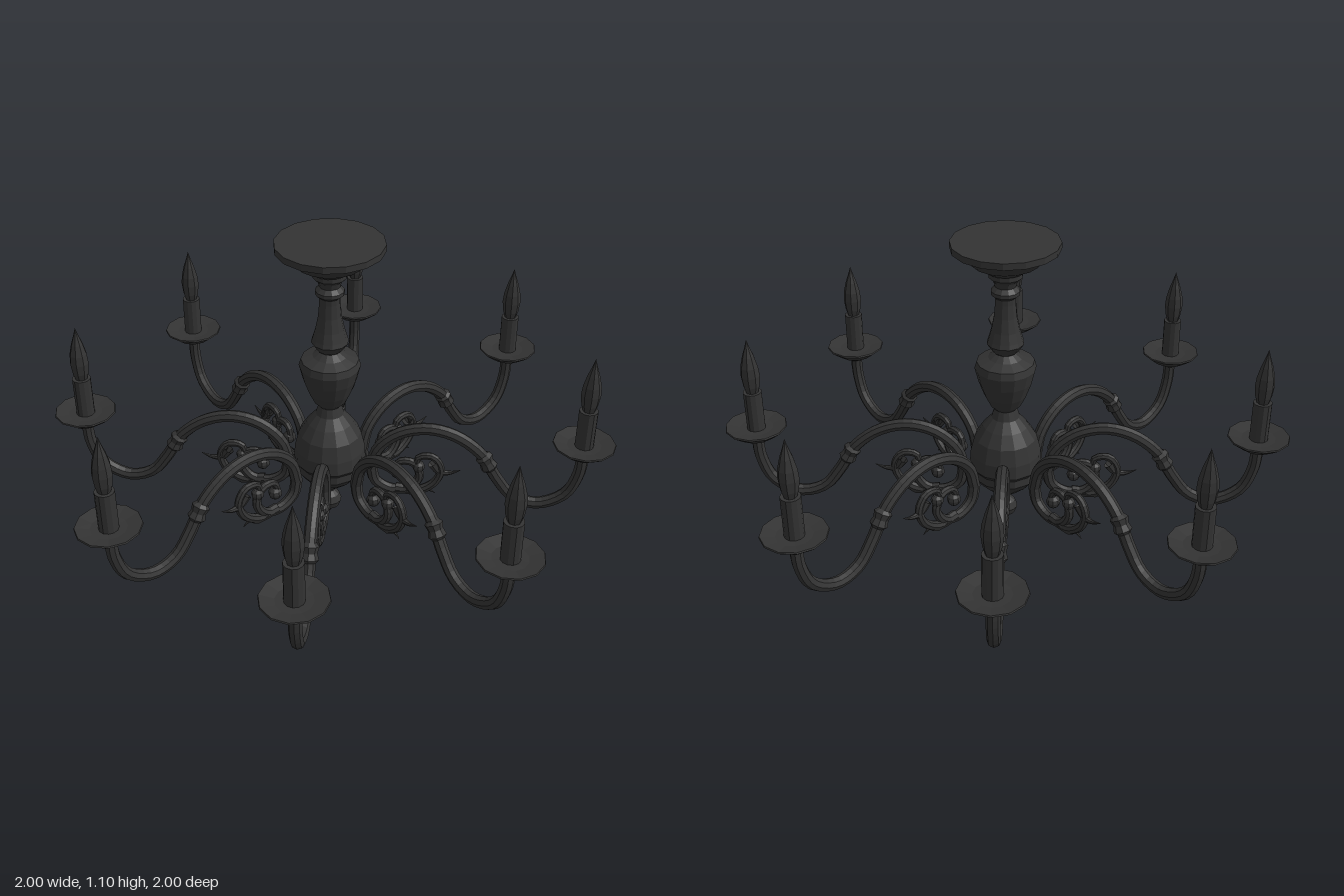
import * as THREE from 'three';

const iron = new THREE.MeshStandardMaterial({ color: 0x333333, flatShading: true, side: THREE.DoubleSide });

function add(parent, name, geometry, x = 0, y = 0, z = 0) {
  const mesh = new THREE.Mesh(geometry, iron);
  mesh.name = name;
  mesh.position.set(x, y, z);
  parent.add(mesh);
  return mesh;
}

// Turned part from [radius, height] pairs, bottom to top
function turned(profile, sides) {
  return new THREE.LatheGeometry(profile.map(([r, y]) => new THREE.Vector2(r, y)), sides);
}

// Tube through [x, y] points whose thickness follows radiusAt(t)
function rod(points, segments, radiusAt) {
  const path = new THREE.CatmullRomCurve3(points.map(([x, y]) => new THREE.Vector3(x, y, 0)));
  const sides = 8;
  const geo = new THREE.TubeGeometry(path, segments, 1, sides, false);
  const pos = geo.attributes.position;
  const v = new THREE.Vector3();
  for (let i = 0; i <= segments; i++) {
    const center = path.getPointAt(i / segments);
    for (let j = 0; j <= sides; j++) {
      const k = i * (sides + 1) + j;
      v.fromBufferAttribute(pos, k).sub(center).multiplyScalar(radiusAt(i / segments)).add(center);
      pos.setXYZ(k, v.x, v.y, v.z);
    }
  }
  geo.computeVertexNormals();
  return geo;
}

function createArm() {
  const arm = new THREE.Group();
  const reach = 0.89;

  // S-shaped arm, from the cup down, over the arch and in to the body
  add(arm, 'armTube', rod([
    [reach, 0.34], [0.885, 0.25], [0.845, 0.155], [0.75, 0.105], [0.66, 0.13], [0.595, 0.21],
    [0.54, 0.3], [0.45, 0.37], [0.35, 0.395], [0.25, 0.37], [0.175, 0.3], [0.15, 0.21],
  ], 40, () => 0.022));

  // Collar where the arm swings up into the arch
  const collar = add(arm, 'armCollar', turned(
    [[0.02, -0.035], [0.032, -0.022], [0.026, 0], [0.032, 0.022], [0.02, 0.035]], 8), 0.56, 0.27);
  collar.rotation.z = 0.5;

  // Lower scroll curling back under the arch
  add(arm, 'innerScroll', rod([
    [0.15, 0.22], [0.165, 0.16], [0.22, 0.125], [0.29, 0.135], [0.325, 0.19],
    [0.3, 0.245], [0.25, 0.245], [0.235, 0.205],
  ], 26, t => 0.022 - 0.009 * t));
  add(arm, 'innerScrollBud', new THREE.SphereGeometry(0.025, 8, 6), 0.245, 0.2);

  // Outer scroll branching off it
  add(arm, 'outerScroll', rod([
    [0.24, 0.13], [0.32, 0.125], [0.38, 0.165], [0.4, 0.225], [0.37, 0.275], [0.32, 0.27], [0.31, 0.235],
  ], 22, t => 0.019 - 0.007 * t));
  add(arm, 'outerScrollBud', new THREE.SphereGeometry(0.023, 8, 6), 0.32, 0.23);

  // Pointed leaves
  add(arm, 'outerLeaf', rod([[0.37, 0.25], [0.395, 0.215], [0.43, 0.21], [0.47, 0.225]], 8,
    t => 0.02 * (1 - t) + 0.001));
  add(arm, 'innerLeaf', rod([[0.29, 0.13], [0.325, 0.115], [0.36, 0.13], [0.385, 0.115]], 8,
    t => 0.018 * (1 - t) + 0.001));

  // Drip dish, candle and flame bulb
  add(arm, 'dripDish', turned([
    [0, 0.315], [0.03, 0.32], [0.04, 0.335], [0.065, 0.34], [0.085, 0.355], [0.11, 0.375],
    [0.108, 0.38], [0.06, 0.37], [0, 0.368],
  ], 12), reach);
  add(arm, 'candle', new THREE.CylinderGeometry(0.033, 0.033, 0.155, 12), reach, 0.4375);
  add(arm, 'flameBulb', turned([
    [0.02, 0.51], [0.029, 0.54], [0.034, 0.58], [0.031, 0.615], [0.021, 0.655], [0.009, 0.69], [0, 0.72],
  ], 8), reach);
  return arm;
}

export function createModel() {
  const chandelier = new THREE.Group();
  chandelier.name = 'chandelier';

  add(chandelier, 'bottomFinial', turned([
    [0, 0], [0.012, 0.02], [0.034, 0.035], [0.043, 0.06], [0.034, 0.085], [0.016, 0.1], [0.022, 0.12],
  ], 12));

  add(chandelier, 'body', turned([
    [0.02, 0.115], [0.05, 0.135], [0.095, 0.175], [0.117, 0.205], [0.117, 0.235], [0.128, 0.25],
    [0.125, 0.3], [0.11, 0.36], [0.08, 0.405], [0.05, 0.44], [0.038, 0.48],
  ], 14));

  add(chandelier, 'vase', turned([
    [0.036, 0.47], [0.055, 0.49], [0.075, 0.53], [0.095, 0.585], [0.107, 0.635], [0.1, 0.66],
    [0.06, 0.675], [0.032, 0.695],
  ], 14));

  add(chandelier, 'baluster', turned([
    [0.032, 0.69], [0.045, 0.7], [0.065, 0.73], [0.06, 0.745], [0.05, 0.78], [0.04, 0.83],
    [0.036, 0.88], [0.036, 0.9], [0.05, 0.912], [0.05, 0.925], [0.036, 0.94], [0.042, 0.96],
    [0.058, 0.975], [0.058, 1.0],
  ], 12));

  add(chandelier, 'ceilingCanopy', turned([
    [0, 0.995], [0.065, 0.995], [0.085, 1.01], [0.115, 1.025], [0.15, 1.07], [0.184, 1.075],
    [0.184, 1.098], [0, 1.098],
  ], 16));

  // Eight identical arms around the body
  for (let i = 0; i < 8; i++) {
    const arm = createArm();
    arm.name = `candleArm${i + 1}`;
    arm.rotation.y = i * Math.PI / 4;
    chandelier.add(arm);
  }
  return chandelier;
}
